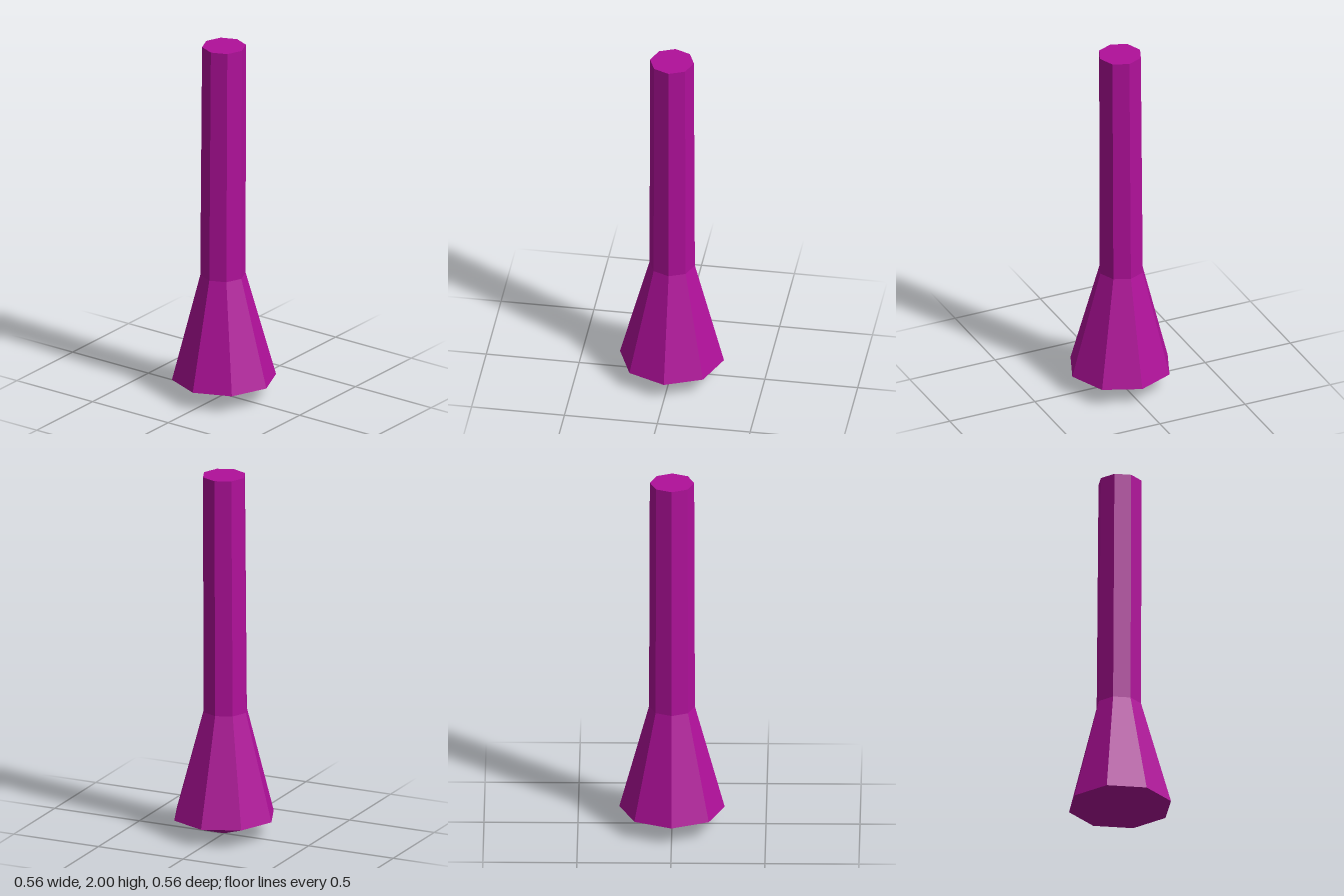
import * as THREE from 'three';

export function createModel() {
  const group = new THREE.Group();
  const material = new THREE.MeshStandardMaterial({ color: 0xb0109a, flatShading: true });

  // Eight-sided profile: pointed underside, flared foot, slim shaft, flat top
  const waistY = 0.69;
  const profile = [[0, 0], [0.28, 0.1], [0.122, waistY], [0.118, 2], [0, 2]]
    .map(([r, y]) => new THREE.Vector2(r, y));
  const geometry = new THREE.LatheGeometry(profile, 8);

  // The waist ring sits slightly off the axis
  const pos = geometry.attributes.position;
  for (let i = 0; i < pos.count; i++) {
    if (Math.abs(pos.getY(i) - waistY) < 0.01) pos.setX(i, pos.getX(i) - 0.007);
  }
  geometry.computeVertexNormals();

  const post = new THREE.Mesh(geometry, material);
  post.name = 'flaredPost';
  group.add(post);
  return group;
}
